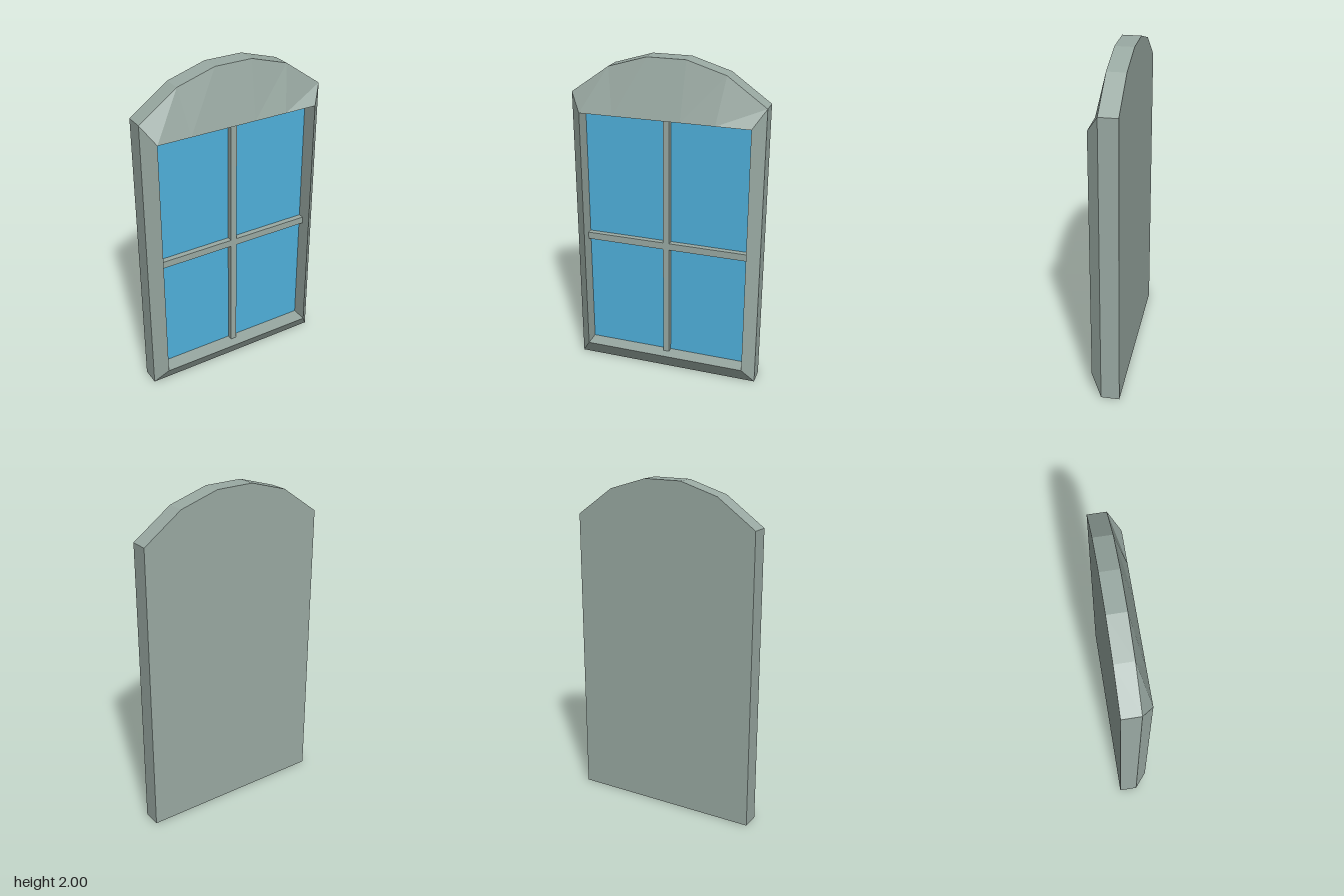
import * as THREE from 'three';

const FRAME = 0x9aaaa3, GLASS = 0x4fb0db;
const GLASS_Z = -0.01, BAR_Z = 0.025;
const IN_X = 0.51, IN_BOTTOM = 0.11, IN_TOP = 1.66;

// right half of the arched outline and of the opening, point for point
const outerHalf = [[0.58, 0], [0.58, 1.765], [0.348, 1.93], [0.116, 2]];
const innerHalf = [[IN_X, IN_BOTTOM], [IN_X, IN_TOP], [0.306, IN_TOP], [0.102, IN_TOP]];

// closed counter-clockwise loop from its right half
const mirrorLoop = (half) => [...half, ...half.map(([x, y]) => [-x, y]).reverse()];
const ring = (loop, z) => loop.map(([x, y]) => [x, y, z]);

// stitches successive rings together and closes the first one as the back
function loftGeometry(rings) {
  const pos = [];
  const tri = (a, b, c) => pos.push(...a, ...b, ...c);
  const n = rings[0].length;
  for (let r = 0; r < rings.length - 1; r++) {
    const a = rings[r], b = rings[r + 1];
    for (let i = 0; i < n; i++) {
      const j = (i + 1) % n;
      tri(a[i], a[j], b[j]);
      tri(a[i], b[j], b[i]);
    }
  }
  for (let i = 1; i < n - 1; i++) tri(rings[0][0], rings[0][i + 1], rings[0][i]);
  const geo = new THREE.BufferGeometry();
  geo.setAttribute('position', new THREE.Float32BufferAttribute(pos, 3));
  geo.computeVertexNormals();
  return geo;
}

export function createModel() {
  const group = new THREE.Group();
  group.name = 'archedWindow';
  const frameMat = new THREE.MeshStandardMaterial({ color: FRAME, flatShading: true });
  const glassMat = new THREE.MeshStandardMaterial({ color: GLASS });

  const add = (name, geo, mat, x = 0, y = 0, z = 0) => {
    const mesh = new THREE.Mesh(geo, mat);
    mesh.name = name;
    mesh.position.set(x, y, z);
    group.add(mesh);
  };

  // frame: back, sides, sloped face and reveal down to the glass
  const outer = mirrorLoop(outerHalf), inner = mirrorLoop(innerHalf);
  add('frame', loftGeometry([
    ring(outer, -0.09), ring(outer, 0.02), ring(inner, 0.09), ring(inner, GLASS_Z),
  ]), frameMat);

  // glass pane filling the opening
  const w = IN_X * 2, h = IN_TOP - IN_BOTTOM, midY = (IN_TOP + IN_BOTTOM) / 2;
  add('glass', new THREE.PlaneGeometry(w, h), glassMat, 0, midY, GLASS_Z);

  // glazing bars: one upright, and a crossbar in two halves
  const depth = BAR_Z - GLASS_Z, barZ = (BAR_Z + GLASS_Z) / 2, barW = 0.038;
  add('uprightBar', new THREE.BoxGeometry(barW, h, depth), frameMat, 0, midY, barZ);
  const halfLen = IN_X - barW / 2;
  for (const side of [1, -1]) {
    add(side > 0 ? 'leftCrossbar' : 'rightCrossbar',
      new THREE.BoxGeometry(halfLen, 0.043, depth), frameMat,
      side * (barW / 2 + halfLen / 2), 0.853, barZ);
  }
  return group;
}
